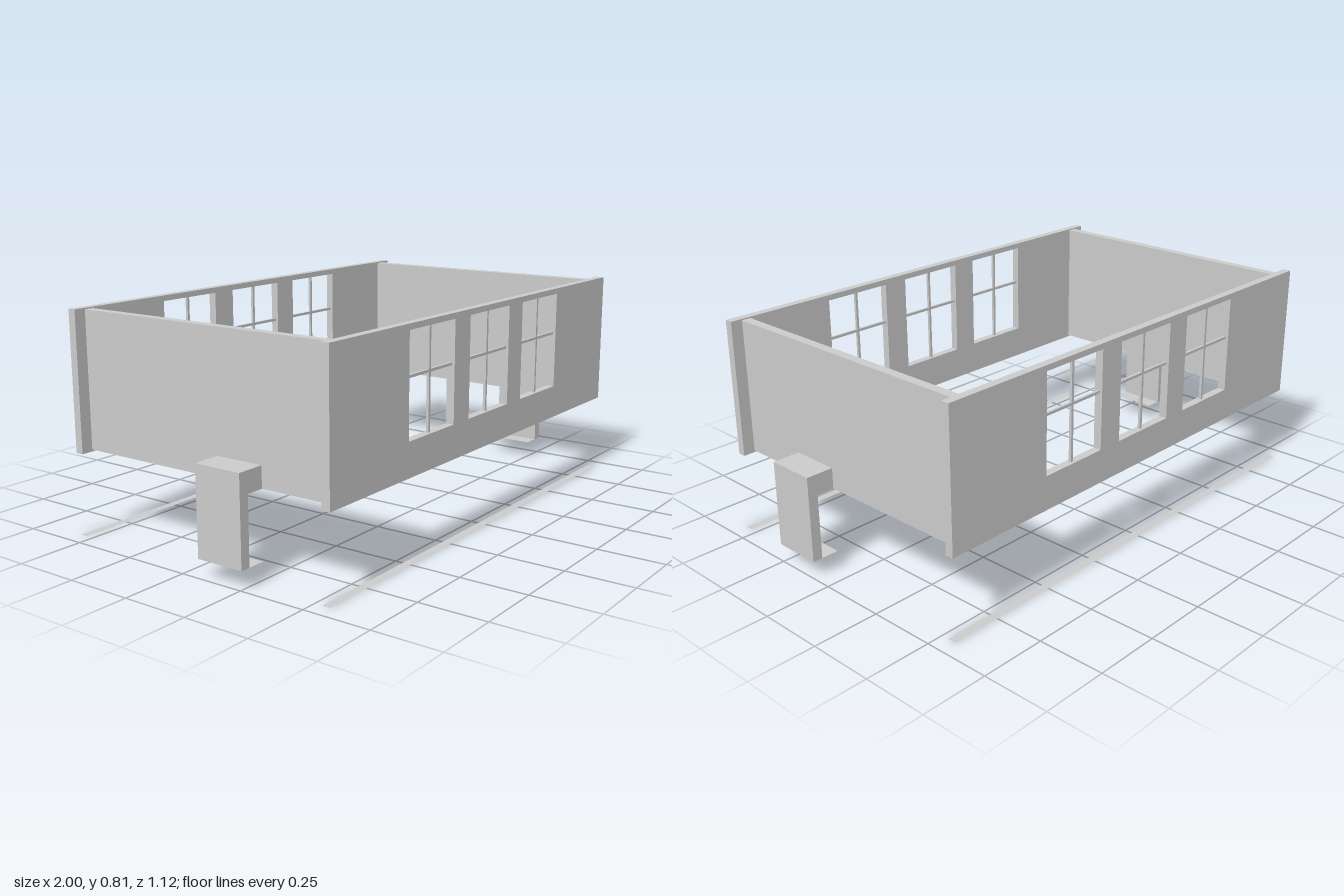
import * as THREE from 'three';

const material = new THREE.MeshStandardMaterial({ color: 0xcccccc, flatShading: true });
const thinMaterial = new THREE.MeshStandardMaterial({ color: 0xcccccc, side: THREE.DoubleSide });

// Box given by its minimum and maximum on each axis
function box(name, [x0, x1], [y0, y1], [z0, z1]) {
  const mesh = new THREE.Mesh(new THREE.BoxGeometry(x1 - x0, y1 - y0, z1 - z0), material);
  mesh.position.set((x0 + x1) / 2, (y0 + y1) / 2, (z0 + z1) / 2);
  mesh.name = name;
  return mesh;
}

// Horizontal sheet without thickness
function sheet(name, [x0, x1], y, [z0, z1]) {
  const mesh = new THREE.Mesh(new THREE.PlaneGeometry(x1 - x0, z1 - z0).rotateX(-Math.PI / 2), thinMaterial);
  mesh.position.set((x0 + x1) / 2, y, (z0 + z1) / 2);
  mesh.name = name;
  return mesh;
}

function rectangle(Type, x0, x1, y0, y1) {
  return new Type([[x0, y0], [x1, y0], [x1, y1], [x0, y1]].map(([x, y]) => new THREE.Vector2(x, y)));
}

const HALF = 0.94;                 // half length of the long walls
const INNER = 0.529, OUTER = 0.56; // inner and outer z of the long walls
const SILL = 0.428, HEAD = 0.794, RAIL = 0.639, BAR = 0.005;
const windows = [[-0.518, -0.24], [-0.14, 0.135], [0.235, 0.513]];

// Long wall with three windows and their glazing bars
function windowWall(name, zMin) {
  const group = new THREE.Group();
  group.name = name;
  const shape = rectangle(THREE.Shape, -HALF, HALF, 0.303, 0.815);
  for (const [a, b] of windows) shape.holes.push(rectangle(THREE.Path, a, b, SILL, HEAD));
  const wall = new THREE.Mesh(
    new THREE.ExtrudeGeometry(shape, { depth: OUTER - INNER, bevelEnabled: false }), material);
  wall.position.z = zMin;
  wall.name = 'wallPanel';
  group.add(wall);
  const zMid = zMin + (OUTER - INNER) / 2;
  const depth = [zMid - BAR, zMid + BAR];
  for (const [a, b] of windows) {
    const mid = (a + b) / 2;
    group.add(box('verticalBar', [mid - BAR, mid + BAR], [SILL, HEAD], depth));
    group.add(box('horizontalBar', [a, b], [RAIL - BAR, RAIL + BAR], depth));
  }
  return group;
}

// Hooked bracket outside an end wall: arm, hanging leg and bottom plate
function bracket(name, side) {
  const group = new THREE.Group();
  group.name = name;
  const span = (a, b) => [Math.min(a * side, b * side), Math.max(a * side, b * side)];
  const z = [0.072, 0.257];
  group.add(box('arm', span(0.895, 0.962), [0.31, 0.387], z));
  group.add(box('leg', span(0.962, 1), [0.067, 0.387], z));
  group.add(sheet('bottomPlate', span(0.895, 1), 0.067, z));
  return group;
}

export function createModel() {
  const model = new THREE.Group();
  model.name = 'room';
  model.add(windowWall('frontWall', INNER), windowWall('backWall', -OUTER));

  // Plain end walls with their brackets
  model.add(box('leftWall', [0.86, 0.895], [0.31, 0.81], [-INNER, INNER]));
  model.add(box('rightWall', [-0.895, -0.86], [0.31, 0.81], [-INNER, INNER]));
  model.add(bracket('leftBracket', 1), bracket('rightBracket', -1));

  // Flat ground strips below the long walls
  model.add(sheet('frontGroundStrip', [-HALF, HALF], 0, [INNER, OUTER]));
  model.add(sheet('backGroundStrip', [-HALF, HALF], 0, [-OUTER, -INNER]));
  return model;
}
